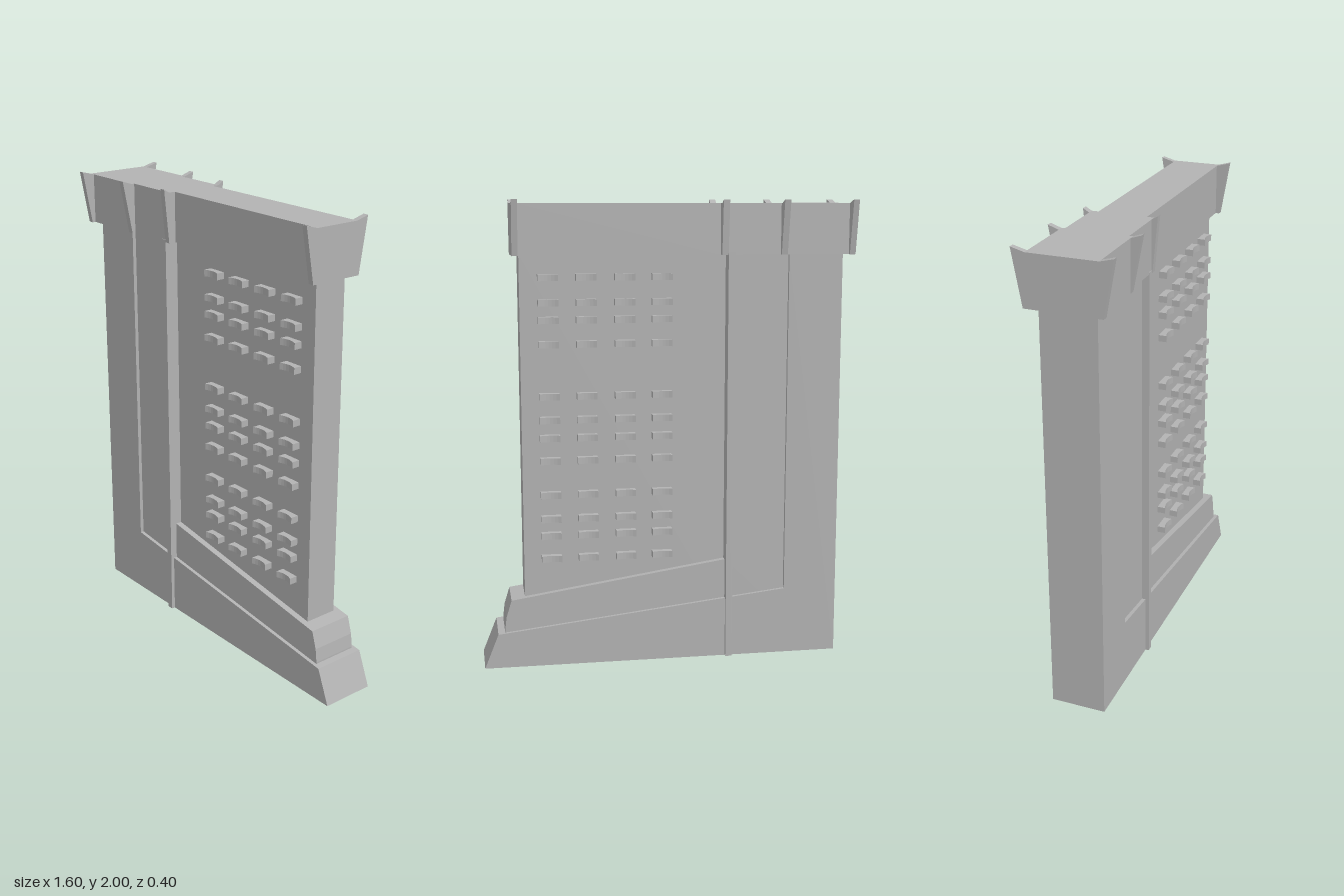
import * as THREE from 'three';

const stone = new THREE.MeshStandardMaterial({ color: 0xb2b2b2 });
stone.name = 'grey stone';

export function createModel() {
  const model = new THREE.Group();
  model.name = 'slabTower';

  const add = (name, geometry) => {
    const mesh = new THREE.Mesh(geometry, stone);
    mesh.name = name;
    model.add(mesh);
    return mesh;
  };
  const outline = (points) => new THREE.Shape(points.map(([x, y]) => new THREE.Vector2(x, y)));

  // Side profile (x, y) extruded symmetrically about z = 0
  const slab = (name, points, half) => {
    const g = new THREE.ExtrudeGeometry(outline(points), { depth: 2 * half, bevelEnabled: false });
    return add(name, g.translate(0, 0, -half));
  };
  const block = (name, x0, x1, y0, y1, half) =>
    slab(name, [[x0, y0], [x1, y0], [x1, y1], [x0, y1]], half);

  // Body: outer frame with sloping plinth, recessed step and thin core
  slab('outerFrame', [[-0.76, 0], [0.8, 0], [0.74, 0.15], [-0.525, 0.295], [-0.525, 1.77], [-0.76, 1.77]], 0.118);
  slab('recessedStep', [[-0.6, 0.1], [0.71, 0.1], [0.71, 0.16], [0.703, 0.22], [0.68, 0.295],
    [-0.258, 0.437], [-0.258, 1.77], [-0.6, 1.77]], 0.102);
  block('core', -0.3, 0.62, 0.1, 1.78, 0.074);
  block('verticalStrip', -0.286, -0.258, 0, 1.78, 0.134);

  // Stepped cap, filling the gaps between its ribs
  const capBottom = 1.77, capTop = 1.985;
  block('capWide', -0.778, -0.51, capBottom, capTop, 0.145);
  block('capMiddle', -0.484, -0.257, capBottom, capTop, 0.131);
  block('capLong', -0.23, 0.625, capBottom, capTop, 0.102);

  // Flared ribs: x range, half widths at the bottom, top and inner notch
  const ribs = [
    [-0.803, -0.778, 0.16, 0.202, 0.145],
    [-0.51, -0.484, 0.146, 0.19, 0.145],
    [-0.257, -0.23, 0.135, 0.157, 0.131],
    [0.625, 0.65, 0.118, 0.157, 0.102],
  ];
  for (const [x0, x1, low, high, inner] of ribs) {
    const shape = outline([[-low, capBottom], [low, capBottom], [high, 2],
      [inner, capTop], [-inner, capTop], [-high, 2]]);
    const g = new THREE.ExtrudeGeometry(shape, { depth: x1 - x0, bevelEnabled: false });
    add('capRib', g.rotateY(Math.PI / 2).translate(x0, 0, 0));
  }

  // Small balconies with a gently hollowed outer face, on both sides
  const plan = new THREE.Shape();
  plan.moveTo(-0.043, 0.06);
  plan.lineTo(0.043, 0.06);
  plan.lineTo(0.043, 0.11);
  plan.quadraticCurveTo(0, 0.09, -0.043, 0.11);
  plan.closePath();
  const balcony = new THREE.ExtrudeGeometry(plan, { depth: 0.028, bevelEnabled: false, curveSegments: 6 });
  balcony.rotateX(Math.PI / 2).translate(0, 0.014, 0);
  const rows = [1.68, 1.575, 1.502, 1.4, 1.179, 1.078, 1.0, 0.902, 0.753, 0.648, 0.574, 0.473];
  for (const y of rows) {
    for (const x of [0.02, 0.179, 0.342, 0.502]) {
      for (const turn of [0, Math.PI]) {
        const mesh = add('balcony', balcony);
        mesh.position.set(x, y, 0);
        mesh.rotation.y = turn;
      }
    }
  }
  return model;
}
